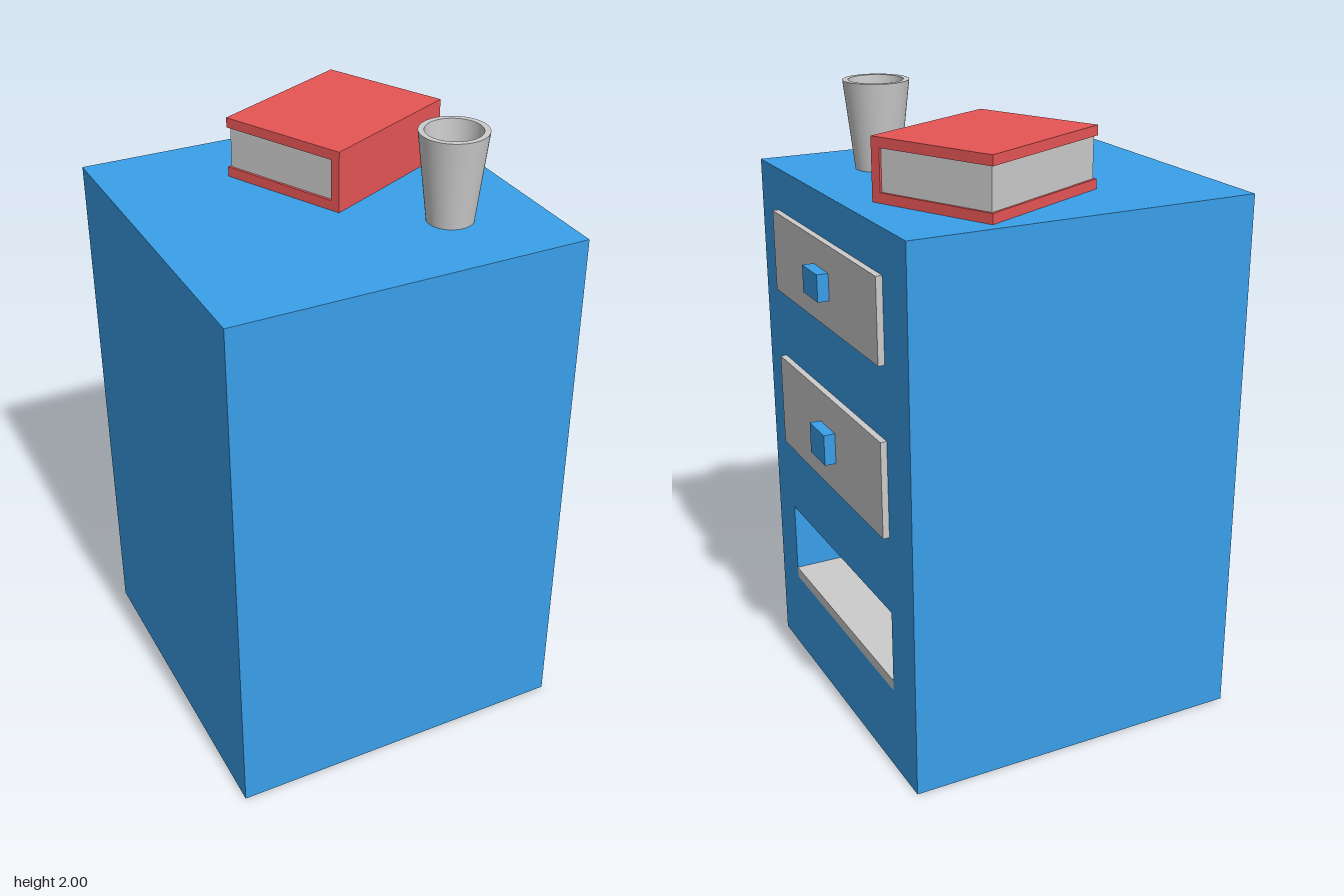
import * as THREE from 'three';

export function createModel() {
  const root = new THREE.Group();
  const blue = new THREE.MeshStandardMaterial({ color: 0x3a9fe9 });
  const red = new THREE.MeshStandardMaterial({ color: 0xe65555 });
  const grey = new THREE.MeshStandardMaterial({ color: 0xcccccc });

  // box given by its min and max on each axis
  function box(name, material, [x0, x1], [y0, y1], [z0, z1], parent = root) {
    const mesh = new THREE.Mesh(new THREE.BoxGeometry(x1 - x0, y1 - y0, z1 - z0), material);
    mesh.position.set((x0 + x1) / 2, (y0 + y1) / 2, (z0 + z1) / 2);
    mesh.name = name;
    parent.add(mesh);
    return mesh;
  }

  const left = -0.59, face = 0.53, top = 1.725, half = 0.56;
  const opening = [-0.4, 0.415]; // z range shared by drawers and niche
  const nicheBack = -0.42;

  // cabinet: an extruded frame around the open niche, closed by a back slab
  const outline = new THREE.Shape([
    new THREE.Vector2(-half, 0), new THREE.Vector2(half, 0),
    new THREE.Vector2(half, top), new THREE.Vector2(-half, top),
  ]);
  outline.holes.push(new THREE.Path([
    new THREE.Vector2(-opening[1], 0.275), new THREE.Vector2(-opening[1], 0.545),
    new THREE.Vector2(-opening[0], 0.545), new THREE.Vector2(-opening[0], 0.275),
  ]));
  const bodyGeometry = new THREE.ExtrudeGeometry(outline, { depth: face - nicheBack, bevelEnabled: false });
  bodyGeometry.rotateY(Math.PI / 2);
  const body = new THREE.Mesh(bodyGeometry, blue);
  body.position.x = nicheBack;
  body.name = 'cabinetBody';
  root.add(body);
  box('cabinetBack', blue, [left, nicheBack], [0, top], [-half, half]);
  box('nicheShelf', grey, [nicheBack, face], [0.275, 0.31], opening);

  // drawers with square knobs
  const drawers = [
    { name: 'upperDrawer', y: [1.33, 1.59], knob: [1.42, 1.505] },
    { name: 'lowerDrawer', y: [0.795, 1.1], knob: [0.895, 0.995] },
  ];
  for (const d of drawers) {
    box(d.name + 'Front', grey, [face, 0.55], d.y, opening);
    box(d.name + 'Knob', blue, [0.55, 0.586], d.knob, [-0.047, 0.071]);
  }

  // closed book lying at an angle, spine on its +z side
  const book = new THREE.Group();
  book.name = 'book';
  book.position.set(0.115, top, -0.215);
  book.rotation.y = 0.451;
  root.add(book);
  const w = 0.258, d = 0.2135, h = 0.19, cover = 0.031;
  box('bookLowerCover', red, [-w, w], [0, cover], [-d, d], book);
  box('bookUpperCover', red, [-w, w], [h - cover, h], [-d, d], book);
  box('bookSpine', red, [-w, w], [cover, h - cover], [d - 0.03, d], book);
  box('bookPages', grey, [-w + 0.008, w - 0.008], [cover, h - cover], [-d + 0.008, d - 0.03], book);

  // tapered hollow cup; repeated points keep the rim and floor edges sharp
  const profile = [
    [0, 0], [0.071, 0], [0.071, 0], [0.103, 0.275], [0.103, 0.275],
    [0.085, 0.275], [0.085, 0.275], [0.065, 0.035], [0.065, 0.035], [0, 0.035],
  ].map(([r, y]) => new THREE.Vector2(r, y));
  const cup = new THREE.Group();
  cup.name = 'cup';
  cup.position.set(0.245, top, 0.27);
  ['base', 'outerWall', 'rim', 'innerWall', 'floor'].forEach((part, i) => {
    const mesh = new THREE.Mesh(new THREE.LatheGeometry(profile.slice(i * 2, i * 2 + 2), 48), grey);
    mesh.name = 'cup_' + part;
    cup.add(mesh);
  });
  root.add(cup);

  return root;
}
